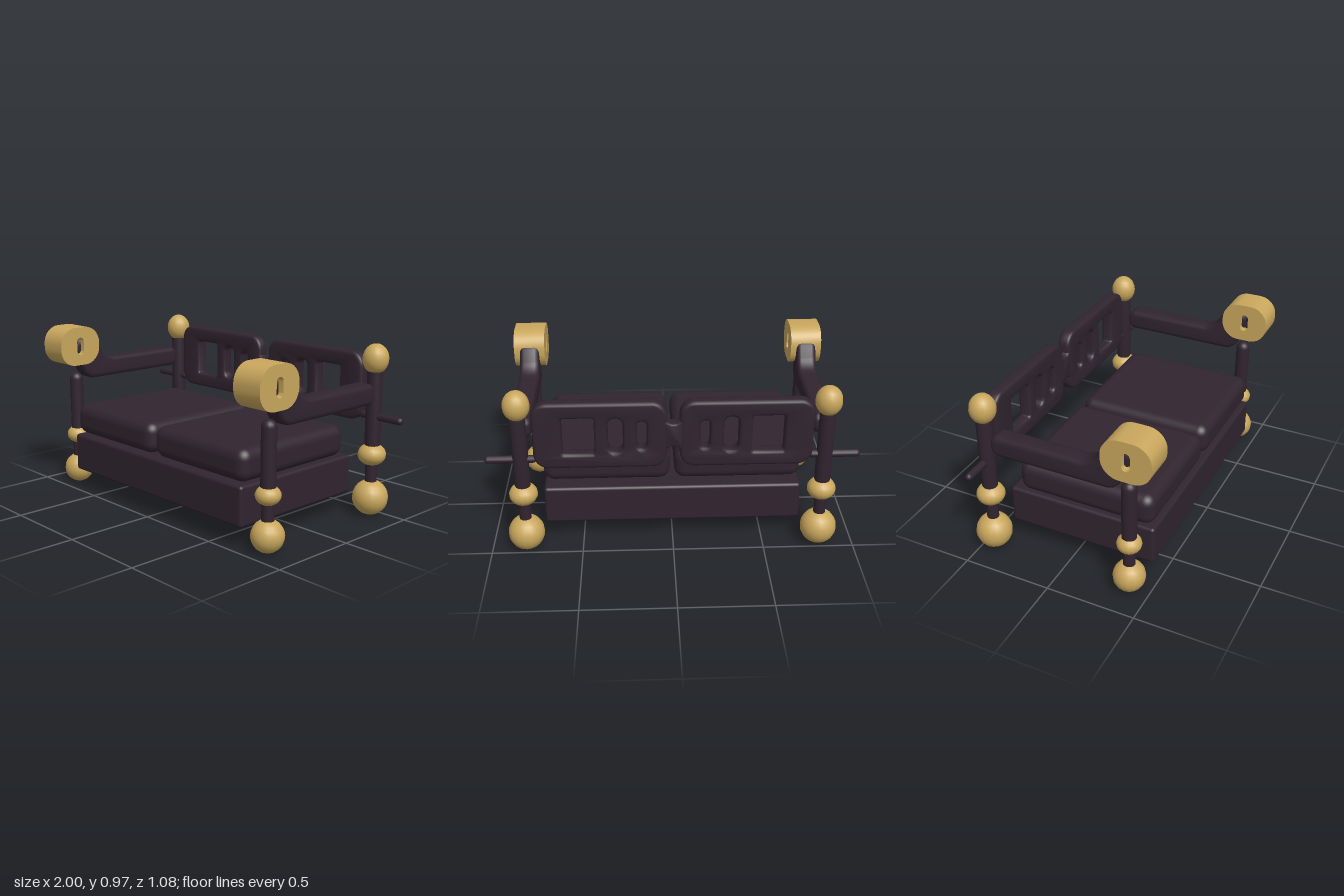
import * as THREE from 'three';
import { toCreasedNormals } from 'three/addons/utils/BufferGeometryUtils.js';
import { RoundedBoxGeometry } from 'three/addons/geometries/RoundedBoxGeometry.js';

// Closed outline through [x, y, cornerRadius] points
function roundedPath(points, PathType = THREE.Shape) {
  const path = new PathType();
  const n = points.length;
  points.forEach(([x, y, r], i) => {
    const p = new THREE.Vector2(x, y);
    const toward = ([qx, qy]) => new THREE.Vector2(qx, qy).sub(p).setLength(r).add(p);
    const a = toward(points[(i + n - 1) % n]);
    const b = toward(points[(i + 1) % n]);
    if (i === 0) path.moveTo(a.x, a.y);
    else path.lineTo(a.x, a.y);
    // near-circular corner
    const k = 0.55;
    const c1 = a.clone().lerp(p, k), c2 = b.clone().lerp(p, k);
    path.bezierCurveTo(c1.x, c1.y, c2.x, c2.y, b.x, b.y);
  });
  path.closePath();
  return path;
}

const roundedRect = (x0, x1, y0, y1, r, PathType) =>
  roundedPath([[x0, y0, r], [x1, y0, r], [x1, y1, r], [x0, y1, r]], PathType);

// Centred extrusion whose bevel stays inside the outline
function slab(shape, thickness, bevel) {
  const geo = new THREE.ExtrudeGeometry(shape, {
    depth: thickness - 2 * bevel, curveSegments: 8, bevelEnabled: bevel > 0,
    bevelSize: bevel, bevelThickness: bevel, bevelOffset: -bevel, bevelSegments: 3,
  });
  geo.translate(0, 0, -thickness / 2 + bevel);
  return toCreasedNormals(geo, 0.7);
}

export function createModel() {
  const group = new THREE.Group();
  group.name = 'sofa';
  const dark = new THREE.MeshStandardMaterial({ color: 0x31242f });
  dark.name = 'dark plum';
  const gold = new THREE.MeshStandardMaterial({ color: 0xc9a75d });
  gold.name = 'gold';

  const add = (name, geo, mat, x, y, z) => {
    const mesh = new THREE.Mesh(geo, mat);
    mesh.name = name;
    mesh.position.set(x, y, z);
    group.add(mesh);
    return mesh;
  };
  const ball = (name, rx, ry, x, y, z) =>
    add(name, new THREE.SphereGeometry(rx, 16, 12).scale(1, ry / rx, 1), gold, x, y, z);
  const rod = (name, r, y0, y1, x, z) =>
    add(name, new THREE.CylinderGeometry(r, r, y1 - y0, 16), dark, x, (y0 + y1) / 2, z);

  // Seat base
  add('seatBase', new RoundedBoxGeometry(1.412, 0.22, 0.855, 3, 0.018), dark, 0, 0.23, 0.046);

  // Armrest side profile, drawn in z and y
  const armShape = roundedPath([
    [-0.38, 0.648, 0.045], [0.33, 0.648, 0.05], [0.412, 0.82, 0.03],
    [0.412, 0.915, 0.06], [0.275, 0.915, 0.05], [0.2, 0.765, 0.07], [-0.38, 0.765, 0.045],
  ]);
  armShape.holes.push(roundedRect(0.37, 0.405, 0.8, 0.9, 0.017, THREE.Path));
  const armGeo = slab(armShape, 0.112, 0.025).rotateY(-Math.PI / 2);

  // Scroll block with a slot
  const scrollShape = roundedRect(0.271, 0.543, 0.748, 0.974, 0.1);
  scrollShape.holes.push(roundedRect(0.383, 0.43, 0.81, 0.913, 0.0234, THREE.Path));
  const scrollGeo = slab(scrollShape, 0.176, 0).rotateY(-Math.PI / 2);

  // Turned back post
  const postGeo = new THREE.LatheGeometry([
    [0, 0.38], [0.03, 0.38], [0.043, 0.41], [0.043, 0.81], [0.03, 0.84], [0, 0.84],
  ].map(([r, y]) => new THREE.Vector2(r, y)), 20);

  for (const s of [1, -1]) {
    const x = 0.808 * s;
    const side = s > 0 ? 'left' : 'right';

    // Seat cushion
    add(side + 'Cushion', new RoundedBoxGeometry(0.697, 0.178, 0.788, 5, 0.06), dark,
      0.36 * s, 0.433, 0.068);

    // Back corner
    ball(side + 'BackFoot', 0.1, 0.1, x, 0.105, -0.44);
    rod(side + 'BackLowerLeg', 0.033, 0.15, 0.4, x, -0.44);
    ball(side + 'BackCollar', 0.078, 0.062, x, 0.352, -0.44);
    add(side + 'BackPost', postGeo, dark, x, 0, -0.44);
    ball(side + 'BackFinial', 0.072, 0.083, x, 0.884, -0.44);

    // Rod sticking out of the back post
    add(side + 'SideRod', new THREE.CapsuleGeometry(0.021, 0.238, 4, 12).rotateZ(Math.PI / 2),
      dark, 0.86 * s, 0.568, -0.44);

    // Front corner
    ball(side + 'FrontFoot', 0.088, 0.088, x, 0.092, 0.384);
    rod(side + 'FrontLowerLeg', 0.033, 0.13, 0.34, x, 0.384);
    ball(side + 'FrontCollar', 0.067, 0.053, x, 0.305, 0.384);
    add(side + 'FrontPost', new THREE.CapsuleGeometry(0.04, 0.32, 6, 16), dark, x, 0.491, 0.384);

    // Armrest and its scroll
    add(side + 'Armrest', armGeo, dark, x, 0, 0);
    add(side + 'ArmScroll', scrollGeo, gold, x, 0, 0);

    // Backrest panel with three openings
    const panel = roundedRect(...(s > 0 ? [0.033, 0.735] : [-0.735, -0.033]), 0.528, 0.908, 0.08);
    for (const [x0, x1, y0, y1, r] of [
      [0.14, 0.19, 0.638, 0.797, 0.024],
      [0.264, 0.342, 0.618, 0.818, 0.038],
      [0.413, 0.582, 0.613, 0.82, 0.012],
    ]) {
      const [a, b] = s > 0 ? [x0, x1] : [-x1, -x0];
      // widened so the inner bevel lip matches the opening
      panel.holes.push(roundedRect(a, b, y0, y1, r, THREE.Path));
    }
    add(side + 'BackPanel', slab(panel, 0.074, 0.018), dark, 0, 0, -0.449);
  }

  // Waisted link between the two back panels
  const link = new THREE.Shape();
  link.moveTo(-0.06, 0.6);
  link.quadraticCurveTo(-0.035, 0.648, 0, 0.648);
  link.quadraticCurveTo(0.035, 0.648, 0.06, 0.6);
  link.lineTo(0.06, 0.83);
  link.quadraticCurveTo(0.035, 0.782, 0, 0.782);
  link.quadraticCurveTo(-0.035, 0.782, -0.06, 0.83);
  link.closePath();
  add('backLink', slab(link, 0.07, 0.012), dark, 0, 0, -0.449);

  return group;
}
